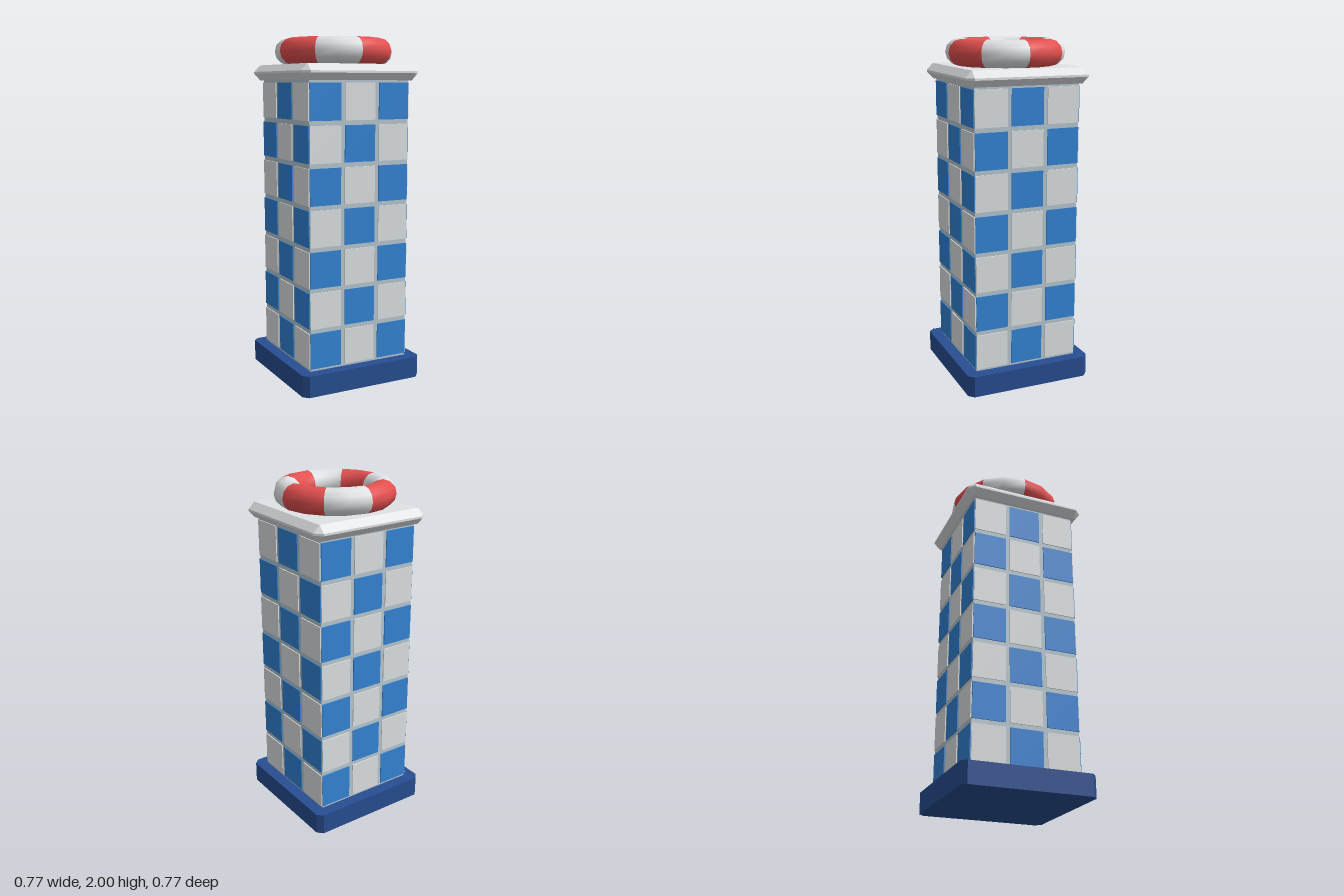
import * as THREE from 'three';
import { ConvexGeometry } from 'three/addons/geometries/ConvexGeometry.js';

const paint = (name, color) => {
  const m = new THREE.MeshStandardMaterial({ color });
  m.name = name;
  return m;
};

export function createModel() {
  const white = paint('white', 0xe0e3e5);
  const blue = paint('blue', 0x3485d6);
  const navy = paint('navy', 0x284e92);
  const red = paint('red', 0xe45050);
  const grout = paint('grout', 0xb9c9d2);

  const model = new THREE.Group();
  model.name = 'tiledPillar';
  const add = (parent, name, geometry, material, x = 0, y = 0, z = 0) => {
    const mesh = new THREE.Mesh(geometry, material);
    mesh.name = name;
    mesh.position.set(x, y, z);
    parent.add(mesh);
    return mesh;
  };

  // Plinth: square with clipped corners
  const h = 0.383, c = h - 0.031;
  const outline = new THREE.Shape([
    [c, -h], [h, -c], [h, c], [c, h], [-c, h], [-h, c], [-h, -c], [-c, -h],
  ].map(([x, y]) => new THREE.Vector2(x, y)));
  const plinth = new THREE.ExtrudeGeometry(outline, { depth: 0.125, bevelEnabled: false });
  plinth.rotateX(-Math.PI / 2);
  add(model, 'plinth', plinth, navy);

  // Column core, seen as grout between the tiles
  const bottom = 0.125, top = 1.76, rows = 7, pitch = (top - bottom) / rows;
  add(model, 'columnCore', new THREE.BoxGeometry(0.628, top - bottom, 0.628), grout, 0, (top + bottom) / 2, 0);

  // Checkered tiles on four sides; neighbouring sides swap colours
  const tile = new THREE.BoxGeometry(0.192, 0.207, 0.008);
  for (let side = 0; side < 4; side++) {
    const wall = new THREE.Group();
    wall.name = ['frontTiles', 'leftTiles', 'backTiles', 'rightTiles'][side];
    wall.rotation.y = side * Math.PI / 2;
    for (let row = 0; row < rows; row++) {
      for (let col = -1; col <= 1; col++) {
        const isBlue = (row + col + 1 + side) % 2 === 0;
        add(wall, isBlue ? 'blueTile' : 'whiteTile', tile, isBlue ? blue : white,
          col * 0.217, bottom + (row + 0.5) * pitch, 0.316);
      }
    }
    model.add(wall);
  }

  // Capstone: slab with every edge and corner chamfered
  const w = 0.369, t = 0.045, b = 0.039;
  const corners = [];
  for (const sx of [-1, 1]) for (const sy of [-1, 1]) for (const sz of [-1, 1]) {
    corners.push(
      new THREE.Vector3(sx * w, sy * (t - b), sz * (w - b)),
      new THREE.Vector3(sx * (w - b), sy * t, sz * (w - b)),
      new THREE.Vector3(sx * (w - b), sy * (t - b), sz * w),
    );
  }
  add(model, 'capstone', new ConvexGeometry(corners), white, 0, 1.804, 0);

  // Lifebuoy: eight alternating ring sections
  const section = new THREE.TorusGeometry(0.269, 0.076, 12, 2, Math.PI / 4);
  section.rotateX(Math.PI / 2);
  const ring = new THREE.Group();
  ring.name = 'lifebuoy';
  ring.position.y = 1.924;
  for (let i = 0; i < 8; i++) {
    const part = add(ring, i % 2 ? 'redSection' : 'whiteSection', section, i % 2 ? red : white);
    part.rotation.y = -i * Math.PI / 4;
  }
  model.add(ring);

  return model;
}
